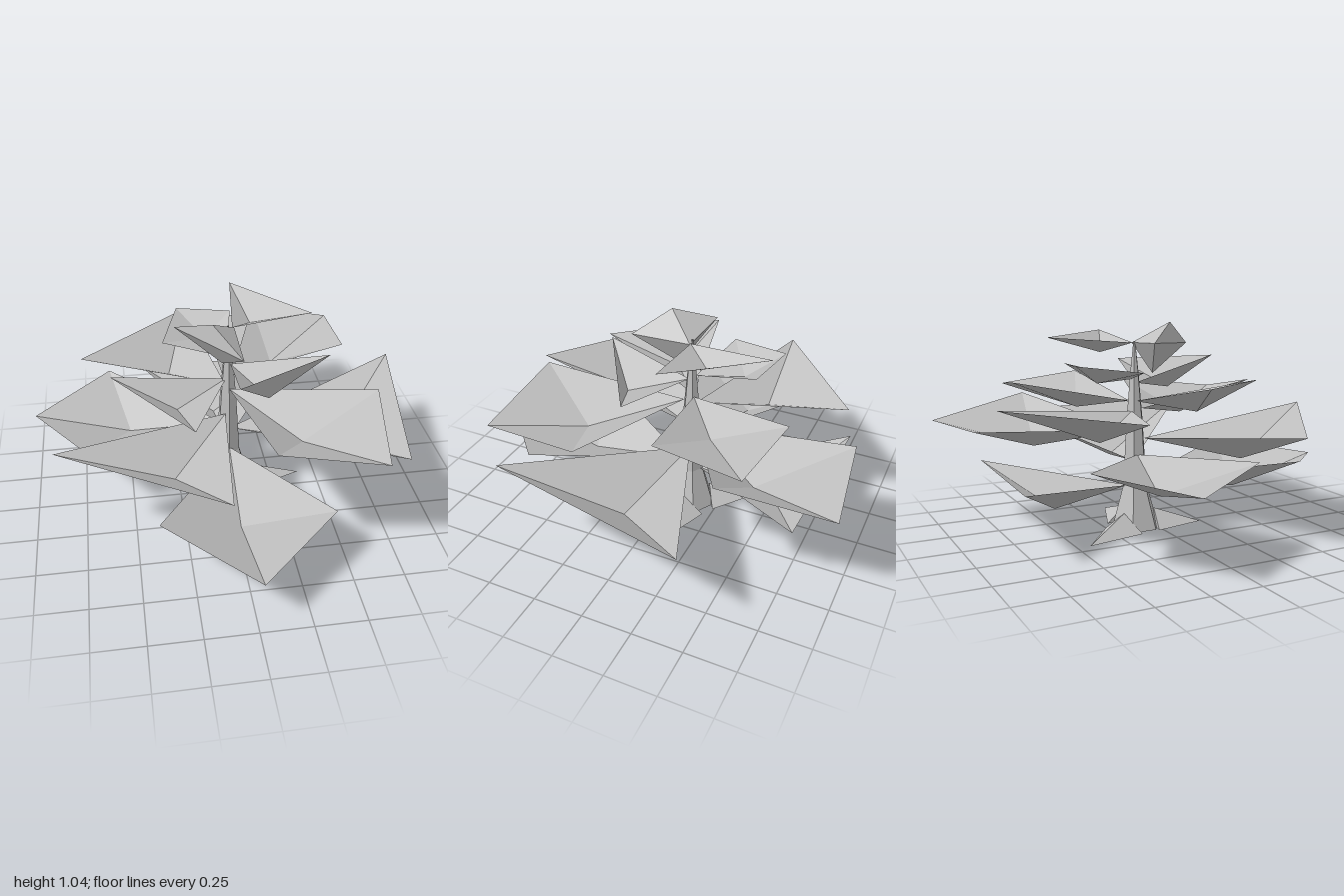
import * as THREE from 'three';

const grey = new THREE.MeshStandardMaterial({ color: 0xc0c0c0, flatShading: true, side: THREE.DoubleSide });
grey.name = 'pale grey';

// Fan of triangles from a rim loop to one fold point, flat shaded
function fan(rim, fold) {
  const p = [];
  rim.forEach((a, i) => p.push(...a, ...rim[(i + 1) % rim.length], ...fold));
  const g = new THREE.BufferGeometry();
  g.setAttribute('position', new THREE.Float32BufferAttribute(p, 3));
  g.computeVertexNormals();
  return g;
}

function add(group, name, geometry) {
  const m = new THREE.Mesh(geometry, grey);
  m.name = name;
  group.add(m);
  return m;
}

// Each bough is an open folded leaf: root at the trunk, outer tips, low fold point
const boughs = {
  lowFrontBough: { root: [0.02, 0.25, -0.05], fold: [0, 0.155, 0.47],
    tips: [[-0.4, 0.35, 0.62], [0.02, 0.285, 0.99], [0.43, 0.33, 0.62]] },
  lowBackBough: { root: [0.02, 0.22, -0.14], fold: [0, 0.15, -0.54],
    tips: [[0.44, 0.33, -0.78], [-0.41, 0.34, -0.82]] },
  rightBough: { root: [0.03, 0.34, -0.1], fold: [0.57, 0.265, 0],
    tips: [[0.79, 0.53, 0.54], [0.98, 0.5, -0.46]] },
  leftBough: { root: [-0.01, 0.38, -0.1], fold: [-0.49, 0.29, -0.22],
    tips: [[-0.58, 0.45, -0.59], [-0.98, 0.4, -0.27], [-0.71, 0.45, 0.17]] },
  frontLeftBough: { root: [0, 0.46, -0.06], fold: [-0.3, 0.375, 0.33],
    tips: [[-0.86, 0.57, 0.31], [-0.09, 0.6, 0.82]] },
  backRightBough: { root: [0.04, 0.5, -0.13], fold: [0.3, 0.41, -0.54],
    tips: [[0.66, 0.64, -0.48], [0.54, 0.54, -1], [-0.01, 0.56, -0.93]] },
  frontRightBough: { root: [0.02, 0.61, -0.06], fold: [0.32, 0.525, 0.32],
    tips: [[0.13, 0.71, 0.65], [0.64, 0.62, 0.68], [0.73, 0.68, 0.16]] },
  backLeftBough: { root: [0.01, 0.6, -0.12], fold: [-0.26, 0.51, -0.41],
    tips: [[-0.13, 0.67, -0.85], [-0.72, 0.66, -0.38]] },
  upperBackRightBough: { root: [0.04, 0.65, -0.12], fold: [0.28, 0.6, -0.31],
    tips: [[0.63, 0.75, -0.18], [0.64, 0.7, -0.6], [0.24, 0.75, -0.67]] },
  upperLeftBough: { root: [0.01, 0.65, -0.1], fold: [-0.26, 0.62, 0.1],
    tips: [[-0.57, 0.77, 0], [-0.21, 0.75, 0.48]] },
  upperFrontBough: { root: [0.03, 0.74, -0.09], fold: [0.18, 0.69, 0.17],
    tips: [[0.01, 0.865, 0.34], [0.51, 0.82, 0.03]] },
  upperBackBough: { root: [0.02, 0.76, -0.12], fold: [-0.07, 0.76, -0.34],
    tips: [[0.08, 0.85, -0.45], [-0.2, 0.86, -0.5], [-0.3, 0.825, -0.2]] },
  topBackBough: { root: [0.04, 0.94, -0.1], fold: [0.15, 0.89, -0.23],
    tips: [[0.44, 0.985, -0.11], [0.09, 0.975, -0.53]] },
};

export function createModel() {
  const tree = new THREE.Group();
  tree.name = 'tree';

  // Trunk: flared foot tapering to a thin top
  const trunk = add(tree, 'trunk', new THREE.LatheGeometry([
    [0, 0], [0.13, 0], [0.065, 0.22], [0.045, 0.55], [0.022, 0.8], [0.005, 0.95],
  ].map(([r, y]) => new THREE.Vector2(r, y)), 6));
  trunk.position.set(0.02, 0, -0.1);

  // Roots: wedges running out along the ground
  [[0.41, -0.1], [-0.05, 0.245], [-0.19, -0.435]].forEach(([x, z], i) => {
    const dx = x - 0.02, dz = z + 0.1, l = Math.hypot(dx, dz);
    const sx = dz / l * 0.11, sz = -dx / l * 0.11;
    const hx = 0.02 + dx / l * 0.1, hz = -0.1 + dz / l * 0.1;
    add(tree, 'root' + (i + 1), fan(
      [[hx - sx, 0, hz - sz], [x, 0, z], [hx + sx, 0, hz + sz]], [hx, 0.09, hz]));
  });

  // Boughs
  for (const [name, b] of Object.entries(boughs)) add(tree, name, fan([b.root, ...b.tips], b.fold));

  // Crown: closed tuft with a raised peak and a pointed underside
  const rim = [[0.05, 0.94, -0.1], [-0.245, 0.955, -0.12], [0.05, 0.93, 0.21]];
  add(tree, 'crownTop', fan(rim, [-0.075, 1.045, 0.05]));
  add(tree, 'crownUnderside', fan([...rim].reverse(), [-0.02, 0.79, -0.02]));
  return tree;
}
